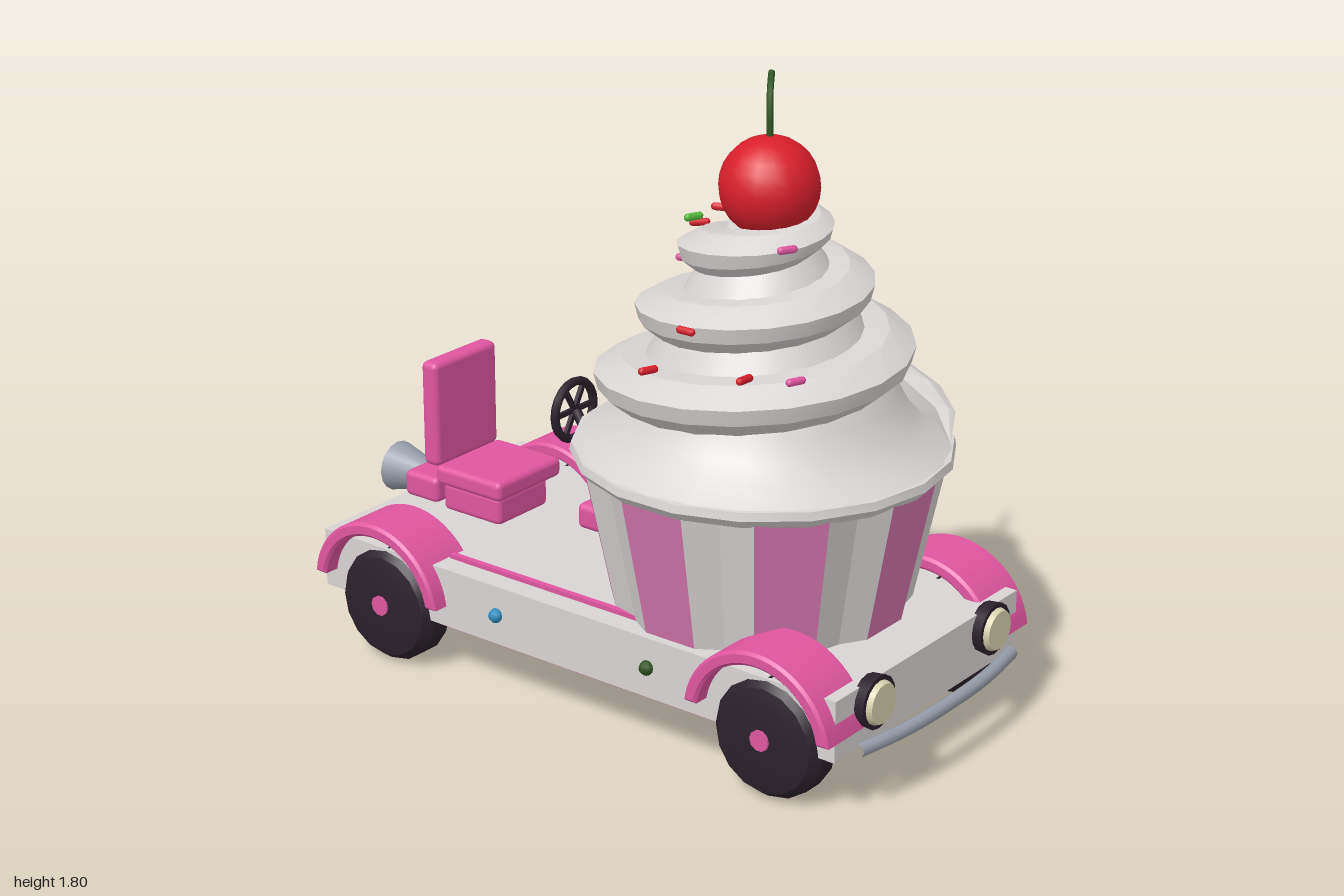
import * as THREE from 'three';
import { toCreasedNormals } from 'three/addons/utils/BufferGeometryUtils.js';
import { RoundedBoxGeometry } from 'three/addons/geometries/RoundedBoxGeometry.js';

const mat = (name, color) => {
  const m = new THREE.MeshStandardMaterial({ color });
  m.name = name;
  return m;
};

// Surface from a rule: fn(u, v) gives a point, front side along du x dv
function grid(nu, nv, fn, crease = 0.6) {
  const pos = [], idx = [];
  for (let j = 0; j <= nv; j++) for (let i = 0; i <= nu; i++) pos.push(...fn(i, j));
  for (let j = 0; j < nv; j++) for (let i = 0; i < nu; i++) {
    const a = j * (nu + 1) + i, b = a + 1, c = a + nu + 1, d = c + 1;
    idx.push(a, b, c, b, d, c);
  }
  const g = new THREE.BufferGeometry();
  g.setAttribute('position', new THREE.Float32BufferAttribute(pos, 3));
  g.setIndex(idx);
  return toCreasedNormals(g, crease);
}

export function createModel() {
  const white = mat('white', 0xd9d4d4), pink = mat('pink', 0xe0569f), stripe = mat('stripe pink', 0xd677ae);
  const dark = mat('rubber', 0x2b212c), red = mat('red', 0xd91f2b), leaf = mat('stem green', 0x2f5420);
  const lime = mat('lime', 0x55b83c), chrome = mat('chrome', 0x979eaa), cream = mat('cream', 0xdad3b0);
  const blue = mat('blue', 0x2f8cc0);
  const root = new THREE.Group();
  const V = (x, y, z) => new THREE.Vector3(x, y, z);

  function add(name, geo, material, x = 0, y = 0, z = 0) {
    const m = new THREE.Mesh(geo, material);
    m.name = name;
    m.position.set(x, y, z);
    root.add(m);
    return m;
  }
  const box = (name, m, w, h, d, x, y, z) => add(name, new THREE.BoxGeometry(w, h, d), m, x, y, z);
  const pad = (name, m, w, h, d, x, y, z) => add(name, new RoundedBoxGeometry(w, h, d, 2, 0.018), m, x, y, z);
  const cylZ = (name, m, rFront, rBack, len, x, y, z, n = 16) =>
    add(name, new THREE.CylinderGeometry(rFront, rBack, len, n).rotateX(Math.PI / 2), m, x, y, z);
  const tube = (name, m, pts, r) =>
    add(name, new THREE.TubeGeometry(new THREE.CatmullRomCurve3(pts), 16, r, 8), m);
  const lathe = (pts, n) =>
    toCreasedNormals(new THREE.LatheGeometry(pts.map(p => new THREE.Vector2(...p)), n), 0.55);

  // Chassis
  box('chassis', white, 0.87, 0.175, 1.8, 0, 0.2575, 0.015);
  box('floorPan', pink, 0.8, 0.03, 1.74, 0, 0.162, 0.015);

  // Wheels, hubs and mudguards
  const tyre = lathe([[0, -0.07], [0.11, -0.07], [0.15, -0.06], [0.172, -0.03], [0.172, 0.03],
    [0.15, 0.06], [0.11, 0.07], [0, 0.07]], 16).rotateZ(Math.PI / 2);
  const arch = new THREE.Shape();
  arch.absarc(0, 0, 0.227, 0.18, Math.PI - 0.18, false);
  arch.absarc(0, 0, 0.203, Math.PI - 0.2, 0.2, true);
  const guard = toCreasedNormals(new THREE.ExtrudeGeometry(arch, {
    depth: 0.174, bevelSize: 0.008, bevelThickness: 0.008, bevelSegments: 1, curveSegments: 14,
  }).translate(0, 0, -0.087).rotateY(-Math.PI / 2), 0.5);
  for (const s of [-1, 1]) {
    for (const z of [0.7, -0.645]) {
      add('wheel', tyre, dark, s * 0.395, 0.174, z);
      add('hub', new THREE.CylinderGeometry(0.03, 0.03, 0.15, 10).rotateZ(Math.PI / 2), pink, s * 0.396, 0.18, z);
      add('mudguard', guard, pink, s * 0.392, 0.198, z - 0.005);
    }
    // Side trim and studs
    box('deckPiping', pink, 0.018, 0.016, 0.95, s * 0.36, 0.35, 0.015);
    add('greenStud', new THREE.SphereGeometry(0.021, 8, 6), leaf, s * 0.441, 0.26, 0.305);
    add('blueStud', new THREE.SphereGeometry(0.021, 8, 6), blue, s * 0.441, 0.26, -0.228);
    // Lamps and exhausts
    cylZ('headlightRim', dark, 0.075, 0.07, 0.04, s * 0.28, 0.293, 0.925);
    cylZ('headlightLens', cream, 0.056, 0.064, 0.02, s * 0.28, 0.293, 0.95);
    box('tailLight', red, 0.14, 0.045, 0.028, s * 0.28, 0.29, -0.895).rotation.y = s * 0.08;
    cylZ('exhaust', chrome, 0.024, 0.024, 0.13, s * 0.157, 0.247, -0.92, 12);
  }

  // Bumpers
  tube('frontBumper', chrome, [V(-0.37, 0.19, 0.945), V(-0.2, 0.19, 0.972), V(0, 0.19, 0.98),
    V(0.2, 0.19, 0.972), V(0.37, 0.19, 0.945)], 0.019);
  tube('rearBumper', chrome, [V(-0.35, 0.2, -0.89), V(-0.18, 0.2, -0.93), V(0, 0.2, -0.94),
    V(0.18, 0.2, -0.93), V(0.35, 0.2, -0.89)], 0.019);

  // Seat with rear nozzle
  pad('seatBase', pink, 0.22, 0.09, 0.22, 0, 0.385, -0.61);
  pad('seatCushion', pink, 0.28, 0.06, 0.25, 0, 0.46, -0.597);
  pad('seatBack', pink, 0.27, 0.32, 0.06, 0, 0.64, -0.742);
  pad('rearHousing', pink, 0.195, 0.08, 0.13, 0, 0.38, -0.82);
  cylZ('nozzle', chrome, 0.042, 0.076, 0.13, 0, 0.375, -0.935);

  // Steering
  pad('dashboard', pink, 0.32, 0.075, 0.11, 0, 0.483, -0.113);
  tube('steeringColumn', dark, [V(0, 0.49, -0.14), V(0, 0.605, -0.22), V(0, 0.72, -0.3)], 0.015);
  add('steeringWheel', new THREE.TorusGeometry(0.085, 0.013, 8, 20), dark, 0, 0.72, -0.305);
  for (let k = 0; k < 3; k++) {
    box('steeringSpoke', dark, 0.16, 0.014, 0.012, 0, 0.72, -0.305).rotation.z = k * Math.PI / 3;
  }

  // Pleated cup: alternating flat pink and folded white panels
  const CZ = 0.36, step = Math.PI / 8;
  for (let k = 0; k < 16; k++) {
    const folded = k % 2 === 1;
    add(folded ? 'whitePleat' : 'pinkPleat', grid(2, 1, (i, j) => {
      const a = (k - 0.5 + i / 2) * step;
      const fold = folded ? 0.95 : Math.cos(step / 2);
      const r = (j ? 0.502 : 0.415) * (i === 1 ? fold : 1);
      return [r * Math.sin(a), j ? 0.755 : 0.335, r * Math.cos(a)];
    }, 0.3), folded ? white : stripe, 0, 0, CZ);
  }
  add('cupRim', lathe([[0.4, 0.745], [0.5, 0.745], [0.525, 0.772], [0.52, 0.795], [0.46, 0.802], [0, 0.802]], 18),
    white, 0, 0, CZ);

  // Frosting core and the rising swirl around it
  add('frostingCore', lathe([[0.51, 0.795], [0.45, 0.835], [0.4, 0.885], [0.37, 0.94], [0.34, 1.0],
    [0.26, 1.14], [0.18, 1.29], [0.1, 1.4], [0, 1.42]], 24), white, 0, 0, CZ);
  const section = [[0, 0.025], [-0.012, -0.022], [-0.09, -0.085], [-0.2, -0.06], [-0.2, 0.07], [-0.075, 0.07], [0, 0.025]];
  const SEG = 64;
  add('frostingSwirl', grid(6, SEG, (i, j) => {
    const turn = -0.2 + 3.3 * j / SEG, t = -turn * Math.PI * 2;
    const grow = Math.min(1, 0.03 + (turn + 0.2) / 0.22);
    const shrink = Math.min(1, 0.25 + (3.1 - turn) / 0.8) * (j === SEG ? 0.02 : 1);
    const size = Math.min(grow, shrink) * (1 - 0.05 * turn);
    const r = Math.max(0.5 - 0.112 * turn, 0.12);
    const out = Math.max(r + section[i][0] * size, 0.005);
    return [out * Math.cos(t), 0.9 + 0.2 * turn - 0.008 * turn * turn + section[i][1] * size, out * Math.sin(t)];
  }, 0.5), white, 0, 0, CZ);

  // Cherry and stem
  add('cherry', new THREE.SphereGeometry(0.136, 18, 14), red, 0, 1.51, 0.37);
  tube('cherryStem', leaf, [V(0, 1.63, 0.37), V(0.004, 1.7, 0.365), V(0.025, 1.76, 0.35), V(0.065, 1.797, 0.325)], 0.009);

  // Sprinkles: colour, position, heading
  const sprinkles = [
    [red, -0.4, 1.09, 0.28, 1.2], [red, -0.345, 1.2, 0.36, 0], [red, -0.345, 1.11, 0.55, 1.5],
    [red, 0.03, 1.41, 0.19, 0.3], [red, 0.04, 1.35, 0.11, 0.8], [lime, -0.02, 1.385, 0.135, 1.2],
    [lime, 0.11, 1.39, 0.165, 1.4], [pink, -0.02, 1.265, 0.11, 0.5], [pink, -0.125, 1.395, 0.52, 1.1],
    [pink, -0.275, 1.11, 0.66, 1.2], [blue, 0.51, 0.935, 0.36, 0],
  ];
  for (const [m, x, y, z, a] of sprinkles) {
    add('sprinkle', new THREE.CapsuleGeometry(0.011, 0.036, 3, 8).rotateX(Math.PI / 2), m, x, y, z).rotation.y = a;
  }
  return root;
}
